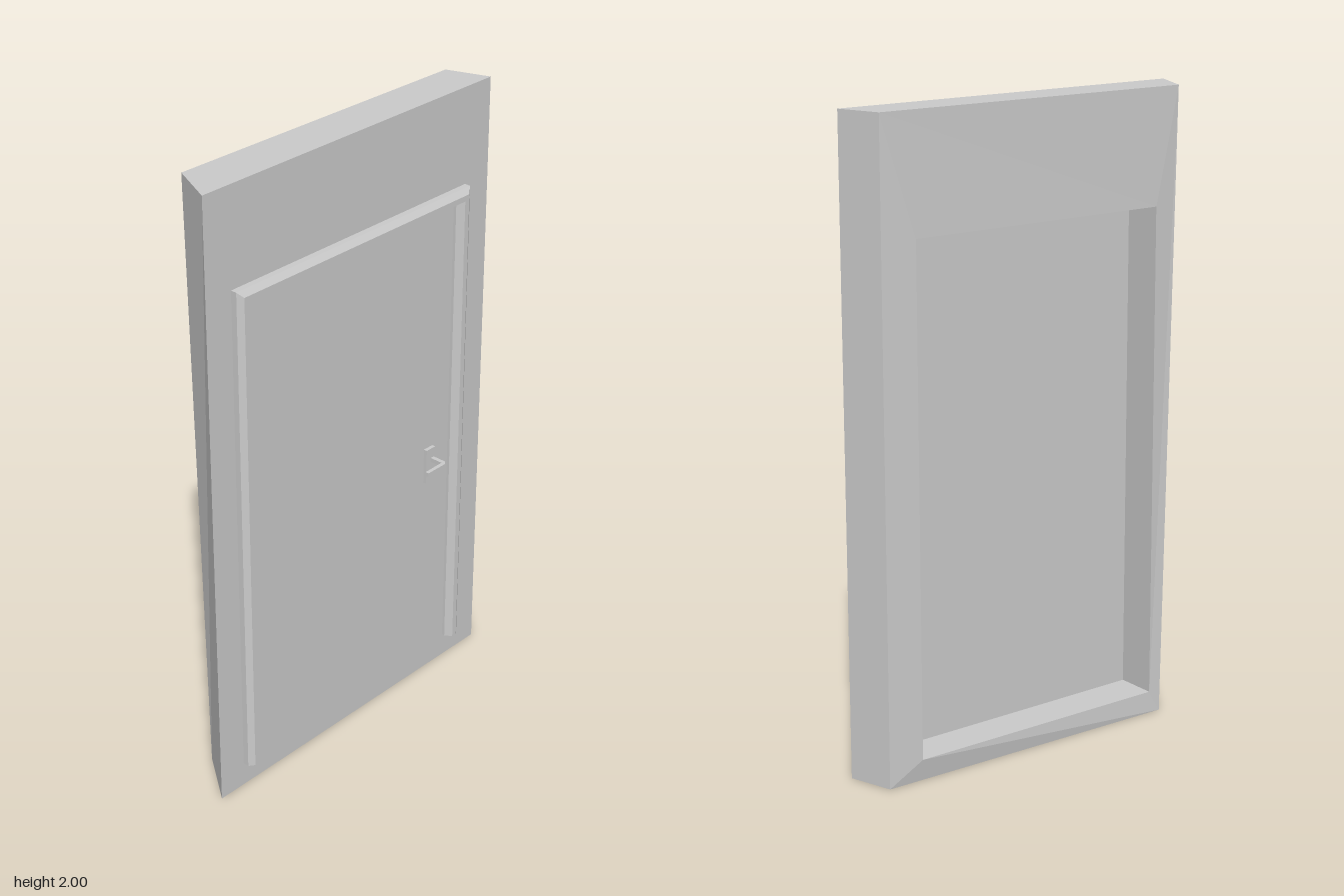
import * as THREE from 'three';

const material = new THREE.MeshStandardMaterial({ color: 0xcccccc, flatShading: true });

// Flat-shaded mesh from a list of polygons (each fanned into triangles)
function polyMesh(name, polygons) {
  const positions = [];
  for (const p of polygons) {
    for (let i = 1; i < p.length - 1; i++) positions.push(...p[0], ...p[i], ...p[i + 1]);
  }
  const geometry = new THREE.BufferGeometry();
  geometry.setAttribute('position', new THREE.Float32BufferAttribute(positions, 3));
  geometry.computeVertexNormals();
  return named(name, geometry);
}

function named(name, geometry) {
  const mesh = new THREE.Mesh(geometry, material);
  mesh.name = name;
  return mesh;
}

// Four quads joining two rectangular rings
function band(a, b) {
  return a.map((p, i) => {
    const j = (i + 1) % a.length;
    return [p, b[i], b[j], a[j]];
  });
}

// Rectangle of corners, counter-clockwise from lower left
const rect = (x0, x1, y0, y1, z) => [[x0, y0, z], [x1, y0, z], [x1, y1, z], [x0, y1, z]];

// Door surround profile: [distance outwards from the opening, height off the wall]
const trimProfile = [[0, 0.044], [0, 0.054], [0.014, 0.077], [0.032, 0.077], [0.05, 0.064], [0.05, 0.044]];

function createTrim() {
  const left = -0.44, right = 0.451, bottom = 0.08, top = 1.64;
  const stations = [
    trimProfile.map(([w, z]) => [left - w, bottom, z]),
    trimProfile.map(([w, z]) => [left - w, top + w, z]),
    trimProfile.map(([w, z]) => [right + w, top + w, z]),
    trimProfile.map(([w, z]) => [right + w, bottom, z]),
  ];
  const polygons = [stations[0], [...stations[3]].reverse()];
  for (let s = 0; s < 3; s++) {
    for (let k = 0; k < trimProfile.length - 1; k++) {
      polygons.push([stations[s][k], stations[s + 1][k], stations[s + 1][k + 1], stations[s][k + 1]]);
    }
  }
  return polyMesh('doorTrim', polygons);
}

function createHandle() {
  const handle = new THREE.Group();
  handle.name = 'doorHandle';

  const plate = named('handlePlate', new THREE.BoxGeometry(0.04, 0.12, 0.014));
  plate.position.set(0.357, 0.78, 0.049);

  // L-shaped lever with a clipped outer corner, seen from above
  const outline = new THREE.Shape([
    [0.357, 0.044], [0.371, 0.044], [0.371, 0.102], [0.36, 0.113],
    [0.28, 0.113], [0.28, 0.101], [0.357, 0.1],
  ].map(([x, z]) => new THREE.Vector2(x, z)));
  const geometry = new THREE.ExtrudeGeometry(outline, { depth: 0.014, bevelEnabled: false });
  geometry.rotateX(Math.PI / 2);
  const lever = named('handleLever', geometry);
  lever.position.y = 0.806;

  handle.add(plate, lever);
  return handle;
}

export function createModel() {
  const model = new THREE.Group();
  model.name = 'doorInWall';

  // Wall: front face, slightly skewed back, and the recess behind the door
  const front = rect(-0.587, 0.607, 0, 2, 0.044);
  const back = [[-0.469, 0, -0.119], [0.562, 0, -0.093], [0.562, 2, -0.093], [-0.516, 2, -0.107]];
  const rim = [[-0.43, 0.07, -0.115], [0.452, 0.07, -0.107], [0.452, 1.64, -0.105], [-0.43, 1.64, -0.112]];
  const recess = rect(-0.43, 0.452, 0.07, 1.64, 0.015);
  model.add(polyMesh('wall', [front, ...band(front, back), ...band(back, rim), ...band(rim, recess)]));

  // Back of the door, closing the recess
  model.add(polyMesh('doorBack', [[...recess].reverse()]));

  model.add(createTrim(), createHandle());

  // The wall stands at an angle to the axes
  model.rotation.y = 1.01;
  const root = new THREE.Group();
  root.name = 'door';
  root.add(model);
  return root;
}
